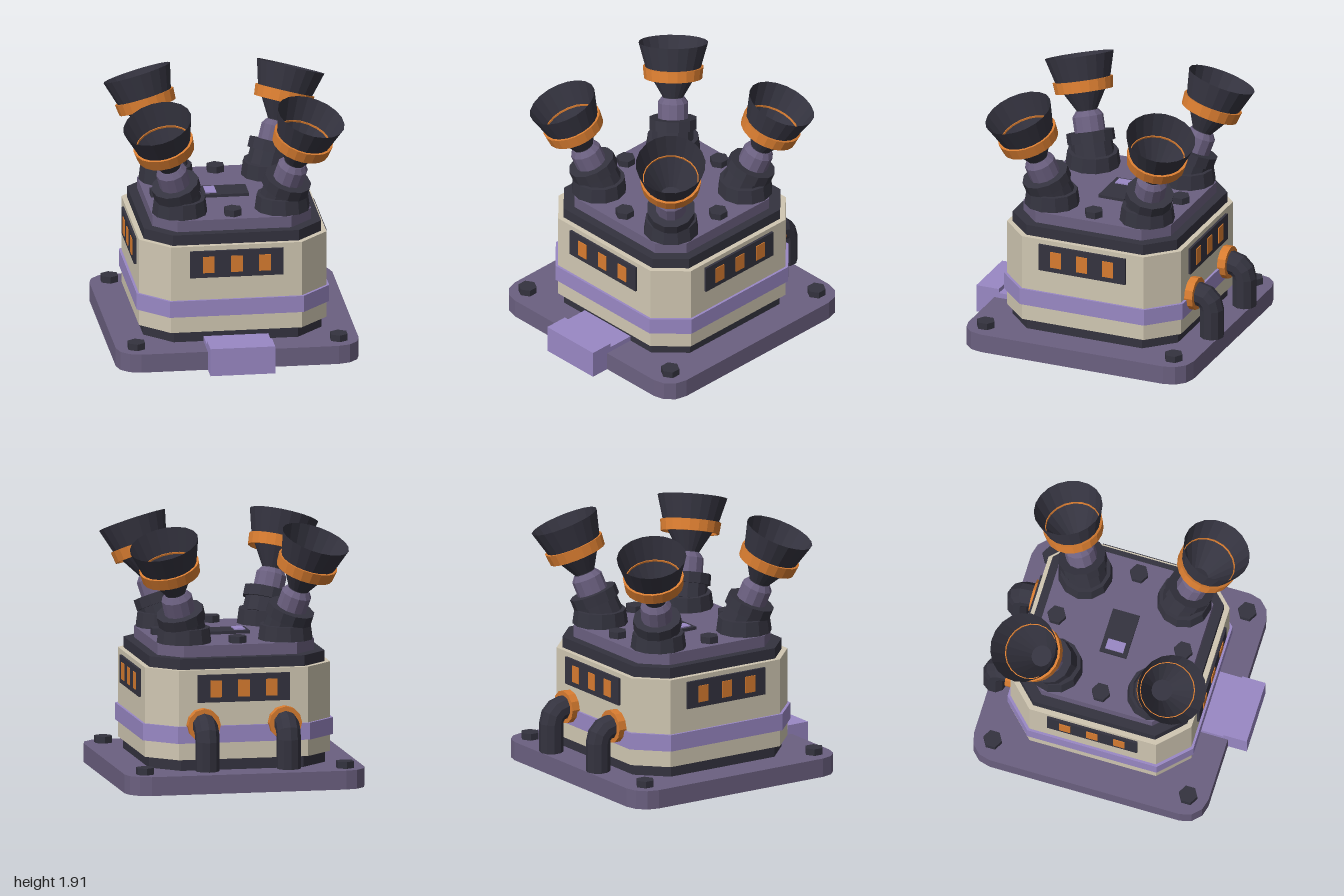
import * as THREE from 'three';

const CZ = -0.045; // body centre along z

const paint = (name, color) => {
  const m = new THREE.MeshStandardMaterial({ color, flatShading: true, side: THREE.DoubleSide });
  m.name = name;
  return m;
};

export function createModel() {
  const dark = paint('charcoal', 0x34333f);
  const purple = paint('dusty purple', 0x6b6080);
  const lilac = paint('lilac', 0x9988c4);
  const cream = paint('cream', 0xd0c7b2);
  const orange = paint('orange', 0xd87c30);

  const model = new THREE.Group();
  model.name = 'launcher';

  const add = (parent, name, geo, mat, x = 0, y = 0, z = 0) => {
    const mesh = new THREE.Mesh(geo, mat);
    mesh.name = name;
    mesh.position.set(x, y, z);
    parent.add(mesh);
    return mesh;
  };
  const box = (parent, name, mat, x0, x1, y0, y1, z0, z1) =>
    add(parent, name, new THREE.BoxGeometry(x1 - x0, y1 - y0, z1 - z0), mat,
      (x0 + x1) / 2, (y0 + y1) / 2, (z0 + z1) / 2);
  const lathe = (points, sides) =>
    new THREE.LatheGeometry(points.map(([r, y]) => new THREE.Vector2(r, y)), sides);

  // Square slab with cut corners; steps > 1 rounds the corner
  const slab = (name, mat, half, cut, y0, y1, steps = 1) => {
    const points = [];
    for (let k = 0; k < 4; k++) {
      for (let i = 0; i <= steps; i++) {
        const a = (k + i / steps) * Math.PI / 2;
        const mid = (k + 0.5) * Math.PI / 2;
        points.push(new THREE.Vector2(
          Math.sign(Math.cos(mid)) * (half - cut) + Math.cos(a) * cut,
          Math.sign(Math.sin(mid)) * (half - cut) + Math.sin(a) * cut));
      }
    }
    const geo = new THREE.ExtrudeGeometry(new THREE.Shape(points), { depth: y1 - y0, bevelEnabled: false });
    geo.rotateX(-Math.PI / 2);
    return add(model, name, geo, mat, 0, y0, CZ);
  };

  // Stacked body
  slab('basePlate', purple, 0.9, 0.17, 0, 0.14, 3);
  slab('lowerCollar', dark, 0.66, 0.2, 0.14, 0.225);
  slab('bodyShell', cream, 0.695, 0.21, 0.225, 0.89);
  slab('bodyBand', lilac, 0.713, 0.217, 0.35, 0.475);
  slab('upperCollar', dark, 0.657, 0.19, 0.89, 0.97);
  slab('topDeck', purple, 0.588, 0.165, 0.97, 1.055);

  // Bolts on the base corners and on the deck
  const boltGeo = new THREE.CylinderGeometry(0.07, 0.07, 0.05, 6);
  for (const sx of [-1, 1]) for (const sz of [-1, 1])
    add(model, 'baseBolt', boltGeo, dark, sx * 0.75, 0.165, CZ + sz * 0.75);
  for (const [x, z] of [[1, 0], [-1, 0], [0, 1], [0, -1]])
    add(model, 'deckBolt', boltGeo, dark, x * 0.485, 1.08, CZ + z * 0.485);

  // Deck control plate and front step
  box(model, 'deckPlate', dark, -0.172, 0.172, 1.055, 1.077, -0.15, 0.055);
  box(model, 'deckKey', lilac, -0.145, -0.065, 1.077, 1.086, -0.115, 0.022);
  box(model, 'frontStep', lilac, -0.24, 0.24, 0, 0.21, 0.82, 1);
  box(model, 'frontStepLedge', lilac, -0.24, 0.24, 0.14, 0.178, 0.61, 0.82);

  // Window panel on each of the four sides
  for (let k = 0; k < 4; k++) {
    const side = new THREE.Group();
    side.name = 'windowPanel';
    side.position.z = CZ;
    side.rotation.y = k * Math.PI / 2;
    box(side, 'panel', dark, -0.346, 0.346, 0.65, 0.855, 0.69, 0.713);
    for (const x of [-0.208, 0, 0.208])
      box(side, 'window', orange, x - 0.043, x + 0.043, 0.688, 0.813, 0.712, 0.719);
    model.add(side);
  }

  // Exhaust pipes on the back: straight, elbow, straight
  const v = (y, z) => new THREE.Vector3(0, y, z);
  const pipeRings = [v(0.487, -0.74)];
  for (let i = 0; i <= 3; i++) {
    const a = i * Math.PI / 6;
    pipeRings.push(v(0.387 + 0.1 * Math.cos(a), -0.81 - 0.1 * Math.sin(a)));
  }
  pipeRings.push(v(0.168, -0.91));
  const pipePath = new THREE.CurvePath();
  for (let i = 1; i < pipeRings.length; i++)
    pipePath.add(new THREE.LineCurve3(pipeRings[i - 1], pipeRings[i]));
  // One cross-section per bend point, turned to the bend angle
  const pipeGeo = new THREE.CylinderGeometry(0.09, 0.09, 1, 10, pipeRings.length - 1);
  const pos = pipeGeo.attributes.position;
  const last = pipeRings.length - 1;
  for (let i = 0; i < pos.count; i++) {
    const ring = Math.round((pos.getY(i) + 0.5) * last);
    const turn = THREE.MathUtils.clamp((ring - 1) / 3, 0, 1) * Math.PI / 2;
    const c = pipeRings[ring];
    const x = pos.getX(i), r = pos.getZ(i);
    pos.setXYZ(i, x, c.y + r * Math.cos(turn), c.z - r * Math.sin(turn));
  }
  pipeGeo.computeVertexNormals();
  const flangeGeo = new THREE.CylinderGeometry(0.123, 0.123, 0.08, 12);
  flangeGeo.rotateX(Math.PI / 2);
  for (const x of [-0.305, 0.305]) {
    add(model, 'exhaustPipe', pipeGeo, dark, x);
    add(model, 'pipeFlange', flangeGeo, orange, x, 0.487, -0.763);
  }

  // Four horns leaning outward along the diagonals
  const up = new THREE.Vector3(0, 1, 0);
  const socketGeo = new THREE.CylinderGeometry(0.19, 0.205, 0.11, 12);
  const jointGeo = new THREE.CylinderGeometry(0.155, 0.16, 0.14, 12);
  const collarGeo = new THREE.CylinderGeometry(0.178, 0.178, 0.08, 12);
  const neckGeo = lathe([[0, 0.13], [0.115, 0.13], [0.115, 0.265], [0.085, 0.305], [0, 0.305]], 12);
  const bellGeo = lathe([[0, 0.31], [0.078, 0.31], [0.078, 0.29], [0.078, 0.31], [0.205, 0.53], [0.257, 0.717]], 20);
  const ringGeo = lathe([[0.2, 0.45], [0.216, 0.45], [0.225, 0.535], [0.2, 0.535], [0.2, 0.45]], 20);
  for (const sx of [-1, 1]) for (const sz of [-1, 1]) {
    const x = sx * 0.38, z = CZ + sz * 0.38;
    add(model, 'hornSocket', socketGeo, dark, x, 1.11, z);
    const horn = new THREE.Group();
    horn.name = 'horn';
    horn.position.set(x, 1.15, z);
    horn.quaternion.setFromUnitVectors(up, new THREE.Vector3(sx * 0.265, 0.927, sz * 0.265).normalize());
    add(horn, 'joint', jointGeo, dark, 0, 0.03, 0);
    add(horn, 'collar', collarGeo, dark, 0, 0.11, 0);
    add(horn, 'neck', neckGeo, purple);
    add(horn, 'bell', bellGeo, dark);
    add(horn, 'bellRing', ringGeo, orange);
    model.add(horn);
  }
  return model;
}
